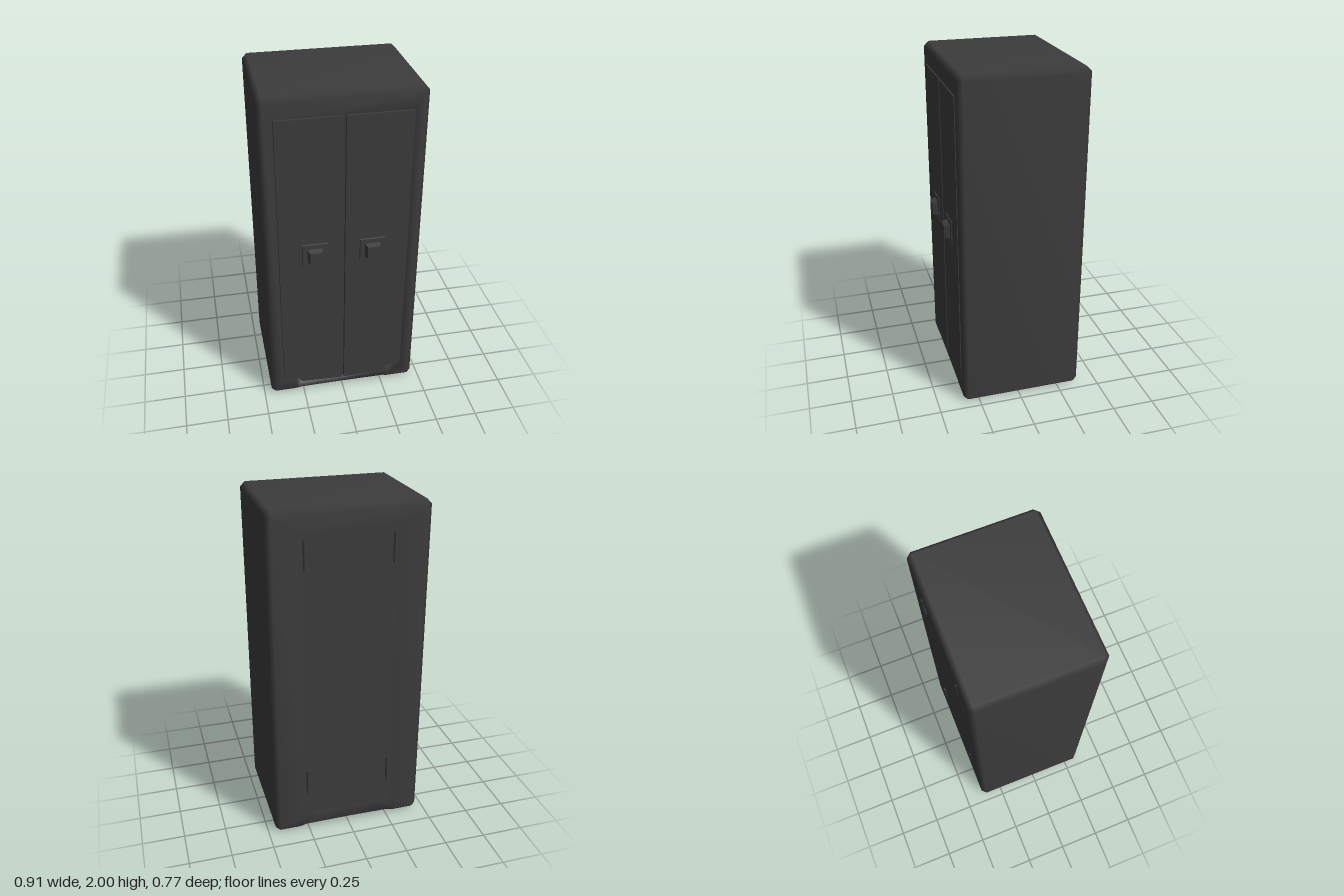
import * as THREE from 'three';
import { mergeVertices } from 'three/addons/utils/BufferGeometryUtils.js';

const grey = new THREE.MeshStandardMaterial({ color: 0x3c3c3c });
grey.name = 'dark grey';

// Rectangular outline with cut corners and a shallow step in the bottom edge
function outline(w, y0, y1, cut, stepX, step) {
  return [
    [-w + cut, y0], [-stepX - 0.015, y0], [-stepX + 0.015, y0 + step], [0, y0 + step * 1.25],
    [stepX - 0.015, y0 + step], [stepX + 0.015, y0], [w - cut, y0],
    [w, y0 + cut], [w, y1 - cut], [w - cut, y1], [-w + cut, y1], [-w, y1 - cut], [-w, y0 + cut],
  ];
}

// Smooth shell through outlines ordered from back to front, capped at both ends
function loft(rings) {
  const n = rings[0].pts.length, pos = [], idx = [];
  for (const { z, pts } of rings) for (const [x, y] of pts) pos.push(x, y, z);
  for (let r = 0; r < rings.length - 1; r++) {
    for (let i = 0; i < n; i++) {
      const j = (i + 1) % n, a = r * n, b = a + n;
      idx.push(a + i, a + j, b + j, a + i, b + j, b + i);
    }
  }
  const last = (rings.length - 1) * n, back = rings.length * n, front = back + 1;
  pos.push(0, 1, rings[0].z, 0, 1, rings[rings.length - 1].z);
  for (let i = 0; i < n; i++) {
    const j = (i + 1) % n;
    idx.push(back, j, i, front, last + i, last + j);
  }
  let geo = new THREE.BufferGeometry();
  geo.setAttribute('position', new THREE.Float32BufferAttribute(pos, 3));
  geo.setIndex(idx);
  geo = mergeVertices(geo, 1e-4);
  geo.computeVertexNormals();
  return geo;
}

export function createModel() {
  const model = new THREE.Group();
  model.name = 'cabinet';

  const add = (name, geo, x = 0, y = 0, z = 0) => {
    const mesh = new THREE.Mesh(geo, grey);
    mesh.name = name;
    mesh.position.set(x, y, z);
    model.add(mesh);
    return mesh;
  };

  // Bevelled case with a recessed back panel and a door opening
  const side = outline(0.455, 0, 2, 0.028, 0.28, 0.01);
  const face = outline(0.427, 0.028, 1.972, 0, 0.28, 0.006);
  const backPanel = outline(0.27, 0.11, 1.88, 0, 0.2, 0);
  const opening = outline(0.38, 0.115, 1.882, 0, 0.28, -0.037);
  add('case', loft([
    { z: -0.375, pts: backPanel },
    { z: -0.383, pts: backPanel },
    { z: -0.383, pts: face },
    { z: -0.355, pts: side },
    { z: 0.315, pts: side },
    { z: 0.343, pts: face },
    { z: 0.343, pts: opening },
    { z: 0.322, pts: opening },
  ]));

  for (const s of [-1, 1]) {
    const sideName = s > 0 ? 'left' : 'right';

    // Door with a stepped lower edge
    const shape = new THREE.Shape([
      [0.008, 0.072], [0.262, 0.081], [0.29, 0.12], [0.374, 0.12], [0.374, 1.876], [0.008, 1.876],
    ].map(([x, y]) => new THREE.Vector2(s * x, y)));
    add(sideName + 'Door', new THREE.ExtrudeGeometry(shape, { depth: 0.026, bevelEnabled: false }), 0, 0, 0.32);

    // Square handle plate and tapered knob
    const taper = (top, bottom, h) =>
      new THREE.CylinderGeometry(top * Math.SQRT1_2, bottom * Math.SQRT1_2, h, 4, 1)
        .rotateY(Math.PI / 4).rotateX(Math.PI / 2).toNonIndexed();
    const plate = taper(0.145, 0.153, 0.01);
    const knob = taper(0.07, 0.09, 0.034);
    for (const g of [plate, knob]) g.computeVertexNormals();
    add(sideName + 'HandlePlate', plate, s * 0.167, 1.037, 0.347);
    add(sideName + 'Knob', knob, s * 0.167, 1.037, 0.367);

    // Rounded hinges on the back
    for (const y of [0.34, 1.755]) {
      const hinge = new THREE.CylinderGeometry(0.011, 0.011, 0.165, 8);
      add(sideName + 'Hinge', hinge, s * 0.25, y, -0.376);
    }
  }
  return model;
}
